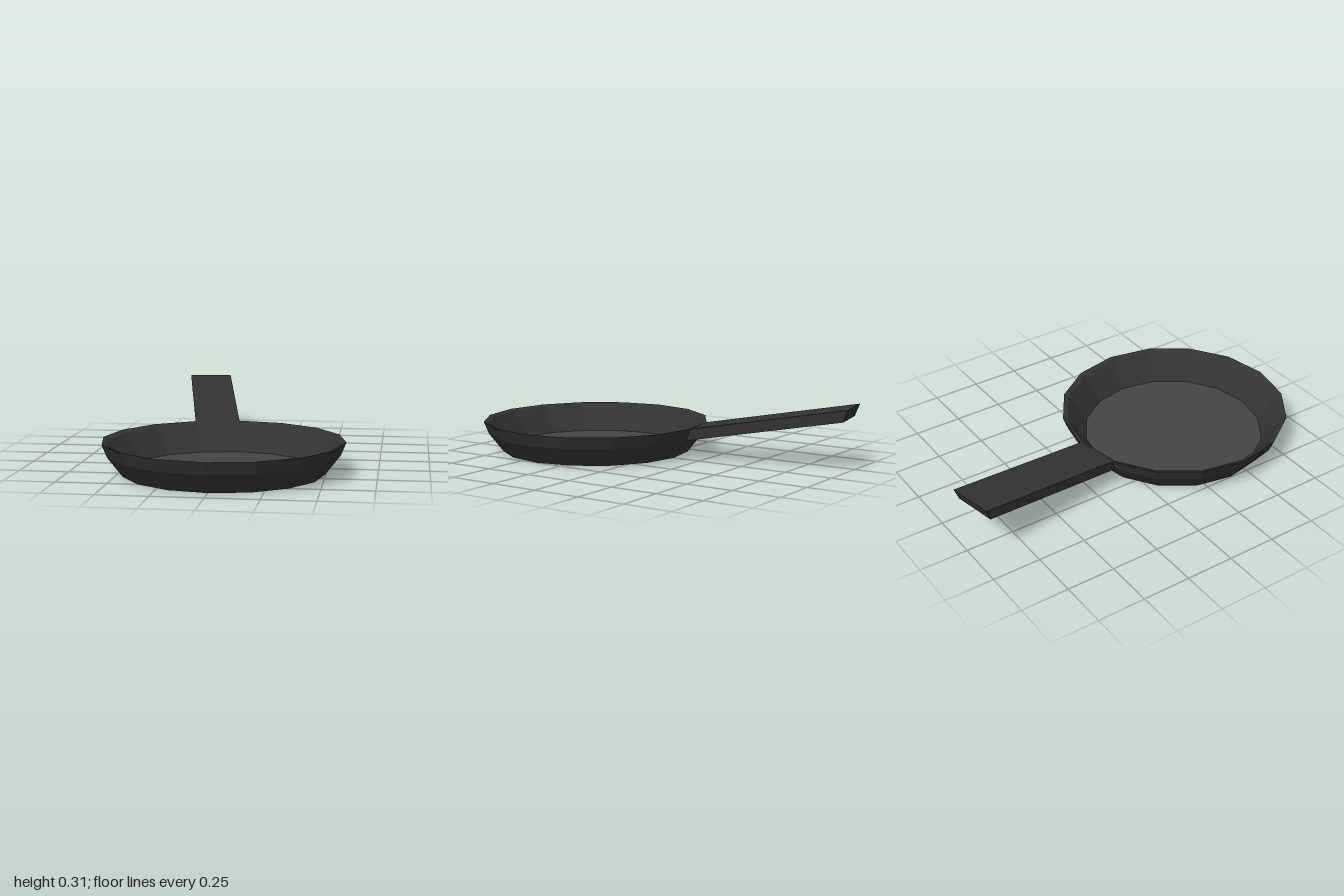
import * as THREE from 'three';

const SIDES = 16;
const CENTRE_Z = 0.4;
const RIM = [0.597, 0.16];
const BEND = [0.572, 0.097];
const FLOOR = [0.475, 0.015];

function lathe(name, profile, material) {
  const points = profile.map(([r, y]) => new THREE.Vector2(r, y));
  const mesh = new THREE.Mesh(new THREE.LatheGeometry(points, SIDES), material);
  mesh.name = name;
  mesh.position.z = CENTRE_Z;
  return mesh;
}

// Corner of the pan wall, counted in sides from the back
function wallCorner([r, y], step) {
  const a = Math.PI + (step * Math.PI * 2) / SIDES;
  return new THREE.Vector3(r * Math.sin(a), y, CENTRE_Z + r * Math.cos(a));
}

// Handle: one panel of the upper wall, drawn out backwards and upwards
function handleGeometry() {
  const near = [wallCorner(RIM, 0), wallCorner(BEND, 0), wallCorner(BEND, 1), wallCorner(RIM, 1)];
  const reach = new THREE.Vector3(-0.16, 0.147, -0.803);
  const far = near.map((p) => p.clone().add(reach));
  const triangles = [];
  const quad = (a, b, c, d) => triangles.push(a, b, c, a, c, d);
  for (let i = 0; i < 4; i++) {
    const j = (i + 1) % 4;
    quad(near[i], near[j], far[j], far[i]);
  }
  quad(...far);
  const geometry = new THREE.BufferGeometry().setFromPoints(triangles);
  geometry.computeVertexNormals();
  return geometry;
}

export function createModel() {
  const iron = new THREE.MeshStandardMaterial({ color: 0x333333, flatShading: true });
  const cookingSurface = new THREE.MeshStandardMaterial({ color: 0x444444, flatShading: true });

  const pan = new THREE.Group();
  pan.name = 'fryingPan';

  // Base, flared outer wall, thin rim and inner wall
  pan.add(lathe('panBody', [[0, 0], [0.497, 0], BEND, RIM, [0.572, 0.15], FLOOR], iron));

  // Lighter inside floor
  pan.add(lathe('panFloor', [FLOOR, [0, FLOOR[1]]], cookingSurface));

  const handle = new THREE.Mesh(handleGeometry(), iron);
  handle.name = 'handle';
  pan.add(handle);

  return pan;
}
